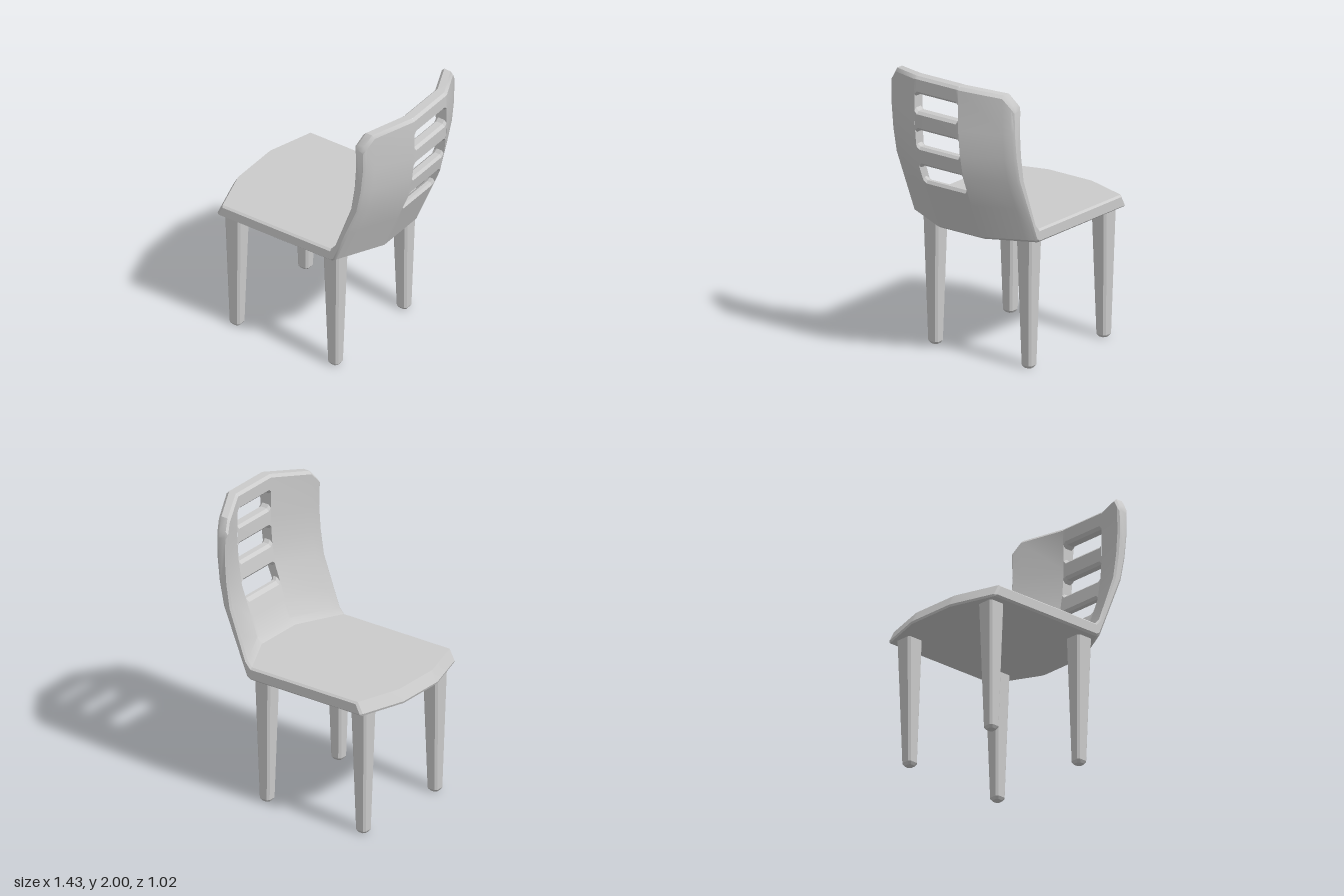
import * as THREE from 'three';
import { mergeGeometries, toCreasedNormals } from 'three/addons/utils/BufferGeometryUtils.js';

const HALF = 0.508, FOLD = 0.18;
// backrest faces at the side edge, as [height, x]
const INNER = [[0.98, 0.28], [1.02, 0.305], [1.36, 0.43], [1.53, 0.456], [1.7, 0.468], [2, 0.46]];
const OUTER = [[0.91, 0.31], [1.36, 0.495], [1.53, 0.53], [1.7, 0.548], [2, 0.55]];
// top edge height by distance from the middle
const TOP = [[0, 2], [FOLD, 2], [0.44, 1.96], [0.494, 1.89], [HALF, 1.865]];

function lerpTable(table, t) {
  let i = 1;
  while (i < table.length - 1 && t > table[i][0]) i++;
  const [a, va] = table[i - 1], [b, vb] = table[i];
  return va + (vb - va) * THREE.MathUtils.clamp((t - a) / (b - a), 0, 1);
}

// how far a station is folded outwards: 1 in the middle panel, 0 at the sides
const fold = z => THREE.MathUtils.clamp((0.5 - Math.abs(z)) / (0.5 - FOLD), 0, 1);
const innerX = (y, z) => lerpTable(INNER, y) + 0.16 * fold(z);
const outerX = (y, z) => lerpTable(OUTER, y) + 0.163 * fold(z);

// counter-clockwise outline of seat and backrest up to a given height
function chairOutline(z, top) {
  const back = 0.16 * fold(z), front = -0.1 * fold(z), c = 0.02;
  const ys = [1.15, 1.36, 1.53, 1.7].filter(y => y < top - 0.05);
  return [
    [-0.615 + front, 0.89], [0.28 + back, 0.89],
    [outerX(0.91, z), 0.91],
    ...ys.map(y => [outerX(y, z), y]),
    [outerX(top - c, z), top - c], [outerX(top, z) - c, top],
    [innerX(top, z) + c, top], [innerX(top - c, z), top - c],
    ...ys.reverse().map(y => [innerX(y, z), y]),
    [innerX(1.02, z), 1.02], [0.27 + back, 0.98],
    [-0.58 + front, 0.98], [-0.62 + front, 0.905],
  ];
}

// bevelled outline of one backrest slat
function slatOutline(z, y0, y1) {
  const c = 0.018;
  return [
    [innerX(y0, z) + c, y0], [outerX(y0, z) - c, y0],
    [outerX(y0 + c, z), y0 + c], [outerX(y1 - c, z), y1 - c],
    [outerX(y1, z) - c, y1], [innerX(y1, z) + c, y1],
    [innerX(y1 - c, z), y1 - c], [innerX(y0 + c, z), y0 + c],
  ];
}

// shrink an outline for a bevelled end
function inset(points, d) {
  const n = points.length;
  return points.map(([x, y], i) => {
    const [px, py] = points[(i + n - 1) % n], [qx, qy] = points[(i + 1) % n];
    const a = new THREE.Vector2(y - py, px - x).normalize();
    const b = new THREE.Vector2(qy - y, x - qx).normalize();
    a.add(b).normalize();
    return [x - a.x * d, y - a.y * d];
  });
}

// skin a list of { z, points } sections in order of rising z
function loft(sections, capped = true) {
  const n = sections[0].points.length, pos = [], index = [];
  for (const s of sections) for (const [x, y] of s.points) pos.push(x, y, s.z);
  for (let i = 0; i < sections.length - 1; i++) {
    for (let k = 0; k < n; k++) {
      const a = i * n + k, b = i * n + (k + 1) % n;
      index.push(a, b, b + n, a, b + n, a + n);
    }
  }
  if (capped) {
    for (const i of [0, sections.length - 1]) {
      const contour = sections[i].points.map(([x, y]) => new THREE.Vector2(x, y));
      for (const [a, b, c] of THREE.ShapeUtils.triangulateShape(contour, [])) {
        if (i === 0) index.push(a, c, b);
        else index.push(a + i * n, b + i * n, c + i * n);
      }
    }
  }
  const g = new THREE.BufferGeometry();
  g.setAttribute('position', new THREE.Float32BufferAttribute(pos, 3));
  g.setIndex(index);
  return g.toNonIndexed();
}

function createShell() {
  const parts = [];
  // angled side panels, bevelled along their outer edge
  for (const side of [-1, 1]) {
    const sections = [FOLD, 0.44, 0.494, HALF].map(d => {
      const outline = chairOutline(side * d, lerpTable(TOP, d));
      return { z: side * d, points: d === HALF ? inset(outline, 0.014) : outline };
    });
    if (side < 0) sections.reverse();
    parts.push(loft(sections));
  }
  // middle panel below the openings; ends flare to round the opening corners
  const ends = [[-FOLD, 0.02], [-0.16, 0], [0.16, 0], [FOLD, 0.02]];
  parts.push(loft(ends.map(([z, r]) => ({ z, points: chairOutline(z, 1.26 + r) })), false));
  // slats between the openings and the top rail
  for (const [y0, y1] of [[1.375, 1.51], [1.63, 1.76], [1.88, 2]]) {
    const grow = y1 === 2 ? 0 : 1;
    parts.push(loft(ends.map(([z, r]) => ({
      z, points: slatOutline(z, y0 - r, y1 + r * grow),
    })), false));
  }
  return toCreasedNormals(mergeGeometries(parts), 0.5);
}

// square tapered leg with chamfered edges and foot
function createLegGeometry() {
  const square = h => {
    const c = 0.014, k = h - c;
    return [[-k, -h], [k, -h], [h, -k], [h, k], [k, h], [-k, h], [-h, k], [-h, -k]];
  };
  const g = loft([[0, 0.028], [0.018, 0.04], [0.9, 0.062]].map(([z, h]) => ({ z, points: square(h) })));
  g.rotateX(-Math.PI / 2);
  return toCreasedNormals(g, 0.5);
}

export function createModel() {
  const chair = new THREE.Group();
  chair.name = 'chair';
  const material = new THREE.MeshStandardMaterial({ color: 0xcccccc });

  const shell = new THREE.Mesh(createShell(), material);
  shell.name = 'seatAndBackrest';
  chair.add(shell);

  const legGeometry = createLegGeometry();
  for (const [x, name] of [[-0.545, 'frontLeg'], [0.232, 'backLeg']]) {
    for (const z of [-0.385, 0.385]) {
      const leg = new THREE.Mesh(legGeometry, material);
      leg.name = name;
      leg.position.set(x, 0, z);
      chair.add(leg);
    }
  }
  return chair;
}
